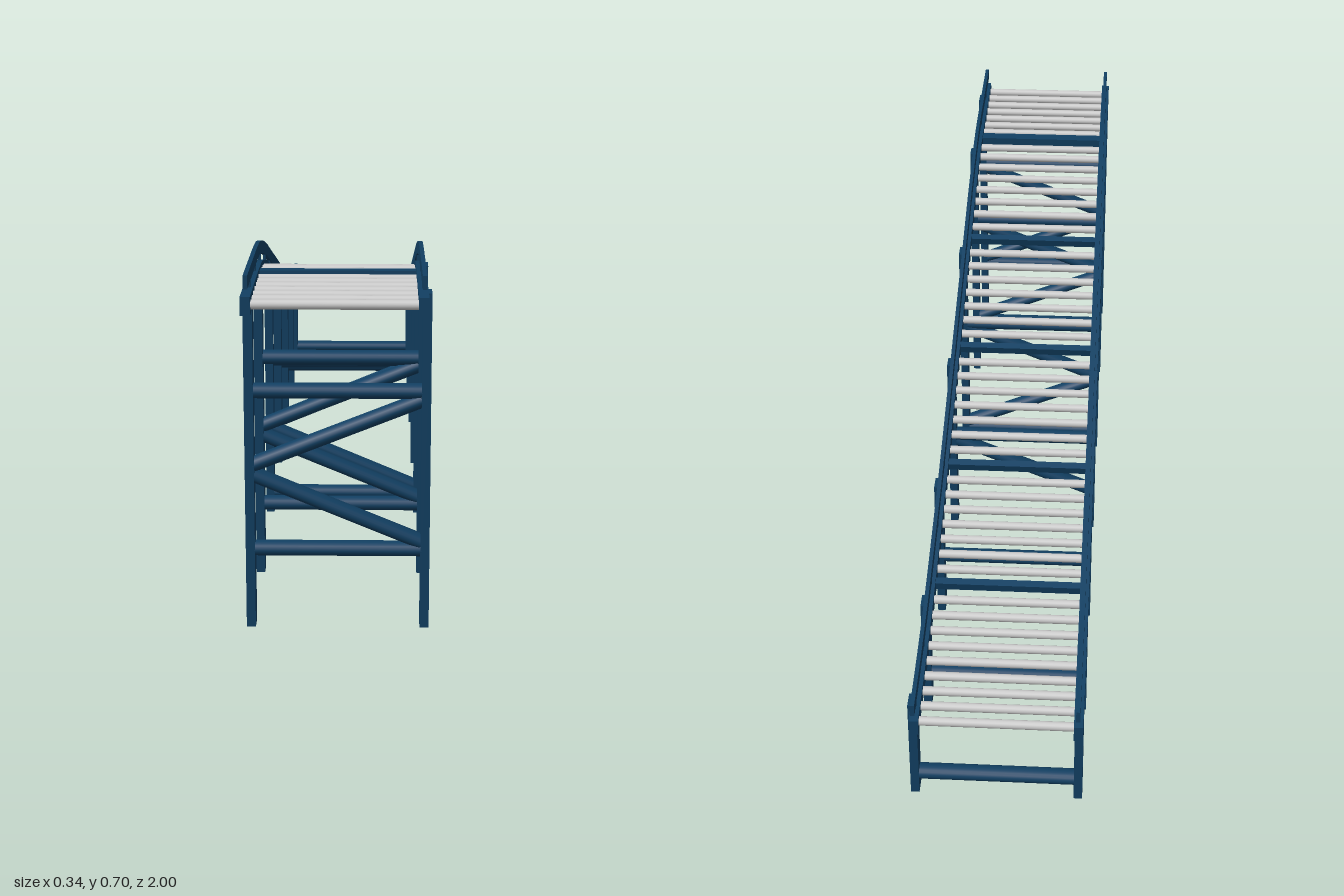
import * as THREE from 'three';

const blue = new THREE.MeshStandardMaterial({ color: 0x124063 });
const grey = new THREE.MeshStandardMaterial({ color: 0xcccccc });

// Slope of the conveyor: x of the vector is depth (z), y is height.
const slope = new THREE.SplineCurve([
  [1, 0.645], [0.85, 0.64], [0.7, 0.634], [0.6, 0.622], [0.45, 0.586], [0.28, 0.534],
  [-0.055, 0.431], [-0.38, 0.329], [-0.685, 0.254], [-0.85, 0.227], [-1, 0.214],
].map(([z, y]) => new THREE.Vector2(z, y)));
const track = slope.getPoints(64);

function heightAt(z) {
  for (let i = 1; i < track.length; i++) {
    const a = track[i - 1], b = track[i];
    if (z >= b.x) return THREE.MathUtils.lerp(a.y, b.y, (a.x - z) / (a.x - b.x));
  }
  return track[track.length - 1].y;
}
const tiltAt = (z) => Math.atan2(heightAt(z - 0.02) - heightAt(z + 0.02), 0.04);

export function createModel() {
  const model = new THREE.Group();

  function add(name, geometry, material, x, y, z) {
    const mesh = new THREE.Mesh(geometry, material);
    mesh.name = name;
    mesh.position.set(x, y, z);
    model.add(mesh);
    return mesh;
  }

  // Long band that follows the slope, between two heights above its centre line
  function band(name, x, width, low, high) {
    const outline = [
      ...track.map((p) => new THREE.Vector2(p.x, p.y + high)),
      ...[...track].reverse().map((p) => new THREE.Vector2(p.x, p.y + low)),
    ];
    const geometry = new THREE.ExtrudeGeometry(new THREE.Shape(outline), { depth: width, bevelEnabled: false });
    geometry.translate(0, 0, -width / 2).rotateY(-Math.PI / 2);
    add(name, geometry, blue, x, 0, 0);
  }

  // Oval bar between two points of a support frame, deeper than it is high
  function brace(name, z, yRight, yLeft) {
    const length = Math.hypot(0.31, yLeft - yRight);
    const geometry = new THREE.CylinderGeometry(0.0142, 0.0142, length, 20);
    geometry.rotateZ(Math.PI / 2).scale(1, 1, 1.25);
    const mesh = add(name, geometry, blue, 0, (yRight + yLeft) / 2, z);
    mesh.rotation.z = Math.atan2(yLeft - yRight, 0.31);
  }

  // Side rails, guard rails and the small posts between them
  for (const [side, x] of [['right', -0.161], ['left', 0.154]]) {
    band(side + 'SideRail', x, 0.018, -0.019, 0.015);
    band(side + 'GuardRail', x + 0.001, 0.008, 0.029, 0.054);
    for (let i = 0; i < 13; i++) {
      const z = 0.91 - i * 0.156;
      add(side + 'GuardPost', new THREE.BoxGeometry(0.006, 0.03, 0.012), blue, x + 0.001, heightAt(z) + 0.022, z);
    }
  }

  // Support frames: depth, foot height, level bars, diagonals [right end, left end]
  const frames = [
    { z: 0.92, foot: 0.01, bars: [0.466, 0.161], diagonals: [[0.325, 0.45], [0.305, 0.175]] },
    { z: 0.63, foot: 0, bars: [0.448, 0.144], diagonals: [[0.308, 0.433], [0.288, 0.158]] },
    { z: 0.28, foot: 0, bars: [0.346, 0.043], diagonals: [[0.207, 0.337], [0.19, 0.058]] },
    { z: -0.055, foot: 0, bars: [0.246], diagonals: [[0.102, 0.232]] },
    { z: -0.38, foot: 0, bars: [0.145], diagonals: [] },
    { z: -0.685, foot: 0, bars: [0.077], diagonals: [] },
    { z: -0.94, foot: 0, bars: [0.042], diagonals: [] },
  ];
  for (const { z, foot, bars, diagonals } of frames) {
    const h = heightAt(z) + 0.01 - foot;
    for (const s of [-1, 1]) {
      add(s < 0 ? 'rightLeg' : 'leftLeg', new THREE.BoxGeometry(0.017, h, 0.035), blue, s * 0.1615, foot + h / 2, z);
    }
    bars.forEach((y) => brace('crossBar', z, y, y));
    diagonals.forEach(([r, l]) => brace('diagonalBrace', z, r, l));
  }

  // Deck cross members, with evenly spaced rollers in each section between them
  const members = [0.71, 0.33, 0, -0.32, -0.63];
  members.forEach((z, i) => {
    const mesh = add('deckCrossMember', new THREE.BoxGeometry(0.31, 0.018, i ? 0.016 : 0.026), blue, -0.003, heightAt(z), z);
    mesh.rotation.x = tiltAt(z);
  });

  const roller = new THREE.CylinderGeometry(0.009, 0.009, 0.305, 16).rotateZ(Math.PI / 2);
  const ends = [1.02, ...members, -1.02];
  for (let i = 1; i < ends.length; i++) {
    const length = ends[i - 1] - ends[i];
    const count = Math.round(length / 0.04);
    for (let k = 1; k < count; k++) {
      const z = ends[i - 1] - (length * k) / count;
      add('roller', roller, grey, -0.003, heightAt(z) - 0.002, z);
    }
  }
  return model;
}
